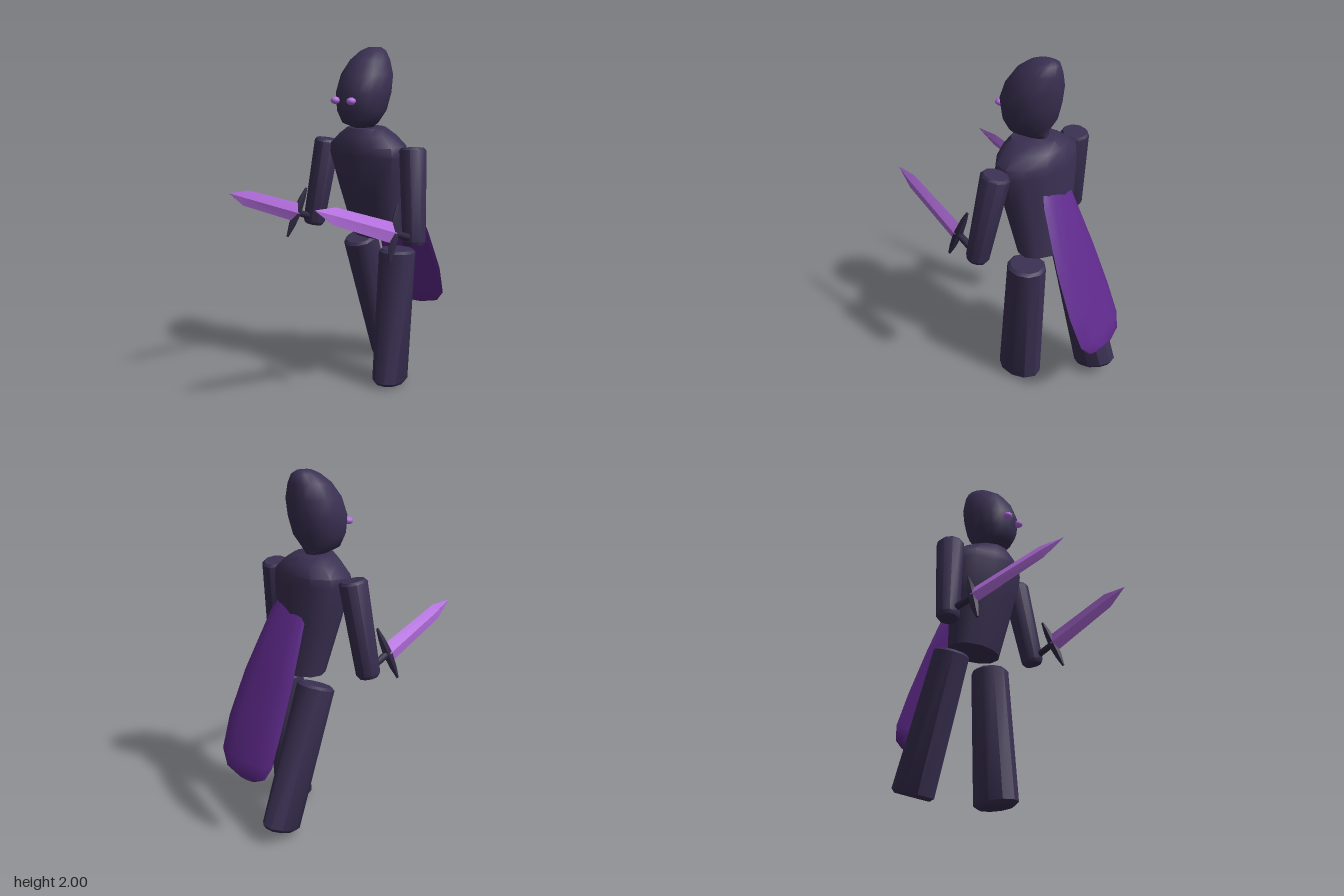
import * as THREE from 'three';
import { toCreasedNormals } from 'three/addons/utils/BufferGeometryUtils.js';

const mat = (name, color) => Object.assign(new THREE.MeshStandardMaterial({ color }), { name });

// Closed skin over elliptical rings [y, cx, cz, rx, rz], listed upwards; skew slants z along x.
function loft(rings, sides, crease = 0.8, skew = 0) {
  const pos = [], idx = [], n = rings.length;
  for (const [y, cx, cz, rx, rz] of rings) {
    for (let j = 0; j < sides; j++) {
      const a = (j / sides) * Math.PI * 2;
      const dx = rx * Math.cos(a);
      pos.push(cx + dx, y, cz + rz * Math.sin(a) + skew * dx);
    }
  }
  for (let i = 0; i < n - 1; i++) {
    for (let j = 0; j < sides; j++) {
      const a = i * sides + j, b = i * sides + (j + 1) % sides;
      idx.push(a, a + sides, b, b, a + sides, b + sides);
    }
  }
  // end caps
  for (const i of [0, n - 1]) {
    const c = pos.length / 3;
    pos.push(rings[i][1], rings[i][0], rings[i][2]);
    for (let j = 0; j < sides; j++) {
      const a = i * sides + j, b = i * sides + (j + 1) % sides;
      if (i === 0) idx.push(c, a, b); else idx.push(c, b, a);
    }
  }
  const g = new THREE.BufferGeometry();
  g.setAttribute('position', new THREE.Float32BufferAttribute(pos, 3));
  g.setIndex(idx);
  return toCreasedNormals(g, crease);
}

export function createModel() {
  const model = new THREE.Group();
  const dark = mat('midnight cloth', 0x3a3052);
  const purple = mat('purple cape', 0x5f2a8c);
  const lilac = mat('lilac glow', 0xb56fe0);
  const steel = mat('dark hilt', 0x2f2842);

  const add = (name, geometry, material, parent = model) => {
    const m = new THREE.Mesh(geometry, material);
    m.name = name;
    parent.add(m);
    return m;
  };

  // Head: egg leaning backwards, rings given by front and back z
  const headRings = [
    [1.55, 0.05, -0.05, -0.2], [1.58, 0.1, 0.03, -0.2], [1.65, 0.14, 0.06, -0.245],
    [1.75, 0.157, 0.068, -0.27], [1.85, 0.148, 0.03, -0.285], [1.93, 0.112, -0.03, -0.28],
    [1.98, 0.07, -0.1, -0.27], [2.0, 0.03, -0.15, -0.245],
  ].map(([y, rx, f, b]) => [y, 0.005 + (y - 1.75) * 0.06, (f + b) / 2, rx, (f - b) / 2]);
  add('head', loft(headRings, 16, 1.2), dark);

  // Eyes
  for (const [x, z] of [[-0.085, 0.055], [0.03, 0.073]]) {
    const eye = add('eye', new THREE.SphereGeometry(0.028, 8, 6), lilac);
    eye.position.set(x, 1.71, z);
    eye.scale.y = 0.75;
  }

  // Torso, turned slightly
  add('torso', loft([
    [0.9, 0.04, -0.225, 0.18, 0.125],
    [1.2, 0.02, -0.17, 0.226, 0.16],
    [1.4, 0.01, -0.145, 0.265, 0.18],
    [1.45, 0.01, -0.145, 0.258, 0.178],
    [1.51, 0.01, -0.14, 0.185, 0.155],
    [1.55, 0.01, -0.13, 0.12, 0.12],
  ], 12, 0.75, 0.16), dark);

  // Limbs: straight tubes with bevelled ends from top point to bottom point
  const limb = (name, top, bottom, [tx, tz], [bx, bz]) => {
    const a = new THREE.Vector3(...top), b = new THREE.Vector3(...bottom);
    const axis = a.clone().sub(b), len = axis.length();
    const m = add(name, loft([
      [0, 0, 0, bx * 0.82, bz * 0.82], [0.02, 0, 0, bx, bz],
      [len - 0.015, 0, 0, tx, tz], [len, 0, 0, tx * 0.85, tz * 0.85],
    ], 10, 0.7), dark);
    m.position.copy(b);
    m.quaternion.setFromUnitVectors(new THREE.Vector3(0, 1, 0), axis.normalize());
  };
  limb('leftArm', [0.335, 1.455, -0.085], [0.4, 0.925, 0.005], [0.074, 0.083], [0.066, 0.066]);
  limb('rightArm', [-0.315, 1.455, -0.21], [-0.395, 0.925, -0.165], [0.074, 0.083], [0.066, 0.066]);
  limb('leftLeg', [0.188, 0.835, -0.19], [0.175, 0.01, -0.137], [0.108, 0.112], [0.097, 0.133]);
  limb('rightLeg', [-0.125, 0.855, -0.28], [-0.068, 0.055, -0.535], [0.105, 0.108], [0.09, 0.132]);

  // Cape: thin lens sections, [y, left x, right x, z]
  const capeRings = [
    [0.37, 0.0, 0.13, -0.655], [0.4, -0.07, 0.24, -0.645], [0.47, -0.105, 0.295, -0.62],
    [0.65, -0.11, 0.303, -0.548], [0.9, -0.105, 0.27, -0.443],
    [1.24, -0.08, 0.185, -0.3], [1.3, -0.06, 0.15, -0.275],
  ].map(([y, l, r, z], i) => [y, (l + r) / 2, z, (r - l) / 2, i === 0 || i === 6 ? 0.015 : 0.03]);
  add('cape', loft(capeRings, 12, 0.8, 0.08), purple);

  // Daggers: local y runs along the blade, local x along the guard
  const dagger = (name, guard, tip, up) => {
    const g = new THREE.Group();
    g.name = name;
    const o = new THREE.Vector3(...guard);
    const y = new THREE.Vector3(...tip).sub(o), len = y.length();
    y.normalize();
    const x = new THREE.Vector3(...up).addScaledVector(y, -y.dot(new THREE.Vector3(...up))).normalize();
    const z = new THREE.Vector3().crossVectors(x, y);
    g.quaternion.setFromRotationMatrix(new THREE.Matrix4().makeBasis(x, y, z));
    g.position.copy(o);
    add('blade', loft([
      [0, 0, 0, 0.058, 0.024], [len * 0.77, 0, 0, 0.046, 0.014], [len, 0, 0, 0.001, 0.001],
    ], 4, 0.1), lilac, g);
    add('guard', loft([
      [-0.16, 0, 0, 0.008, 0.006], [-0.09, 0, 0, 0.022, 0.018], [0, 0, 0, 0.03, 0.026],
      [0.09, 0, 0, 0.022, 0.018], [0.16, 0, 0, 0.008, 0.006],
    ], 6, 0.5), steel, g).rotation.z = Math.PI / 2;
    add('grip', new THREE.CylinderGeometry(0.02, 0.02, 0.15, 8), steel, g).position.y = -0.075;
    model.add(g);
  };
  dagger('leftDagger', [0.355, 1.02, 0.155], [0.193, 1.22, 0.67], [-0.07, 1, -0.4]);
  dagger('rightDagger', [-0.41, 1.02, -0.01], [-0.465, 1.22, 0.54], [0.26, 1, -0.37]);

  return model;
}
